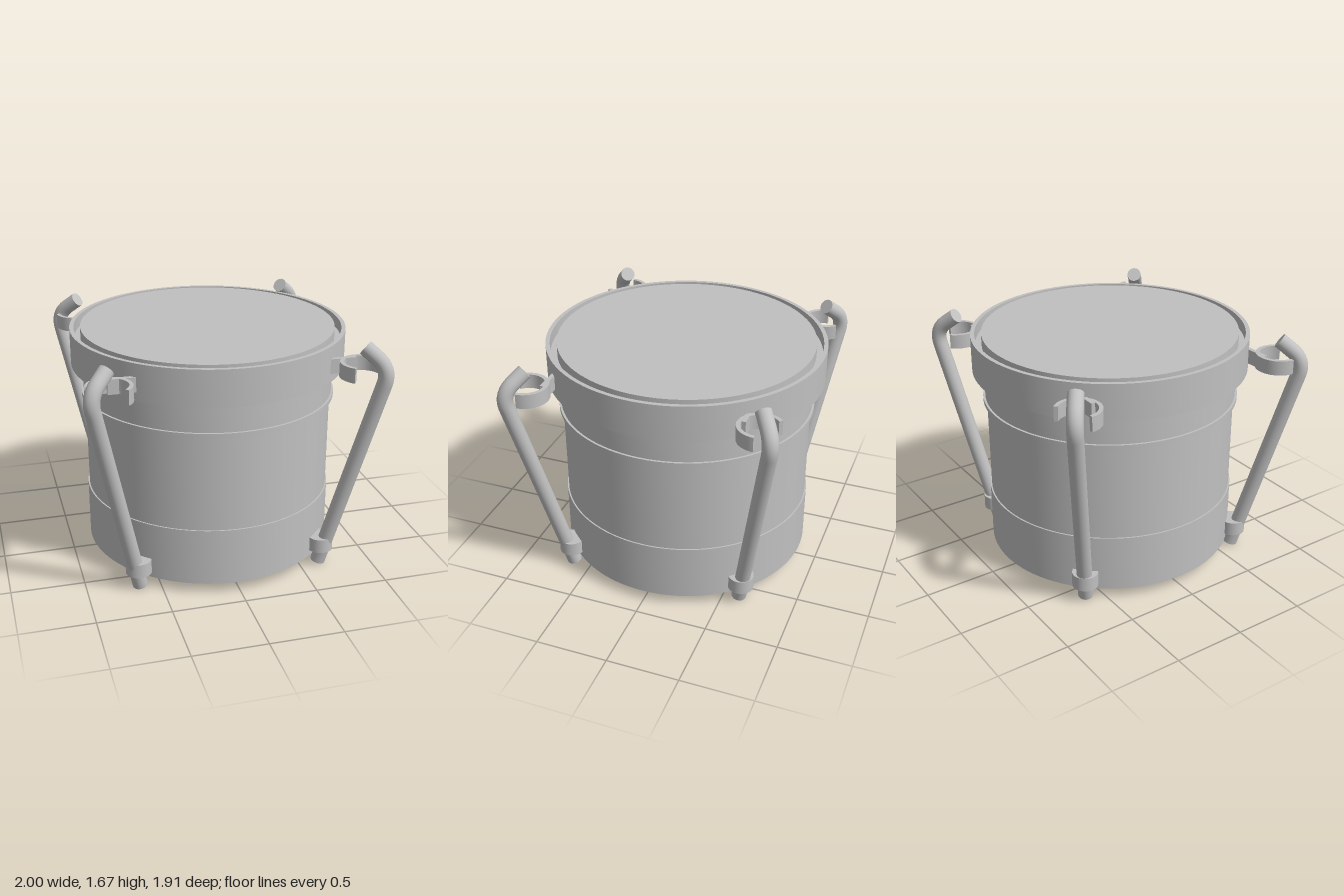
import * as THREE from 'three';
import { toCreasedNormals } from 'three/addons/utils/BufferGeometryUtils.js';

export function createModel() {
  const model = new THREE.Group();
  const grey = new THREE.MeshStandardMaterial({ color: 0xc0c0c0 });
  grey.name = 'light grey';

  const add = (name, geometry, parent = model) => {
    const mesh = new THREE.Mesh(geometry, grey);
    mesh.name = name;
    parent.add(mesh);
    return mesh;
  };

  // Turned parts: profile of [radius, height], bottom to top, very slightly oval
  const turned = (name, profile) => {
    const points = profile.map(([r, y]) => new THREE.Vector2(r, y));
    const lathe = new THREE.LatheGeometry(points, 96).scale(1, 1, 1.012);
    add(name, toCreasedNormals(lathe, 0.5));
  };

  turned('shell', [[0, 0.07], [0.855, 0.07], [0.855, 1.4]]);
  turned('lowerSleeve', [[0.85, 0.07], [0.865, 0.07], [0.865, 0.47], [0.85, 0.47]]);
  turned('bead', [[0.85, 1.14], [0.88, 1.14], [0.88, 1.17], [0.85, 1.17]]);
  turned('upperSleeve', [[0.85, 1.17], [0.865, 1.17], [0.865, 1.34], [0.877, 1.34],
    [0.877, 1.36], [0.85, 1.36]]);
  // Hoop with a groove between its rim and the head
  turned('hoop', [[0.85, 1.37], [0.943, 1.37], [0.943, 1.62], [0.915, 1.62],
    [0.915, 1.54], [0.85, 1.54]]);
  turned('head', [[0.87, 1.53], [0.87, 1.625], [0, 1.625]]);

  // Bent round rod with closed ends
  const addRod = (group, bottom, corner, top, radius) => {
    const into = corner.clone().lerp(bottom, 0.07);
    const out = corner.clone().lerp(top, 0.5);
    const path = new THREE.CurvePath();
    path.add(new THREE.LineCurve3(bottom, into));
    path.add(new THREE.QuadraticBezierCurve3(into, corner, out));
    path.add(new THREE.LineCurve3(out, top));
    add('rod', new THREE.TubeGeometry(path, 80, radius, 24), group);
    for (const [end, from] of [[bottom, corner], [top, corner]]) {
      const cap = add('rodEnd', new THREE.CircleGeometry(radius, 24), group);
      cap.position.copy(end);
      cap.quaternion.setFromUnitVectors(new THREE.Vector3(0, 0, 1),
        end.clone().sub(from).normalize());
    }
  };

  // Open C-shaped clip lying flat around the rod
  const clipGeometry = (cx, cz, sx, sz) => {
    const points = [];
    const steps = 32;
    const arc = (r, i) => {
      const a = -i / steps * THREE.MathUtils.degToRad(228);
      points.push(new THREE.Vector2(sx * (cx + r * Math.cos(a)), sz * (cz + r * Math.sin(a))));
    };
    for (let i = 0; i <= steps; i++) arc(0.15, i);
    for (let i = steps; i >= 0; i--) arc(0.123, i);
    const g = new THREE.ExtrudeGeometry(new THREE.Shape(points), { depth: 0.1, bevelEnabled: false });
    return toCreasedNormals(g.rotateX(Math.PI / 2).translate(0, 1.53, 0), 0.5);
  };

  // Front and back pairs differ a little in their placing
  const pairs = [
    { side: 'front', sz: 1, bottom: [0.64, 0.01, 0.635], corner: [0.965, 1.5, 0.9],
      top: [0.835, 1.625, 0.79], clip: [0.825, 0.795], collar: [0.648, 0.64] },
    { side: 'back', sz: -1, bottom: [0.605, 0.01, 0.61], corner: [0.925, 1.5, 0.875],
      top: [0.785, 1.625, 0.775], clip: [0.795, 0.765], collar: [0.625, 0.625] },
  ];
  for (const p of pairs) {
    for (const sx of [1, -1]) {
      const group = new THREE.Group();
      group.name = p.side + (sx > 0 ? 'Left' : 'Right') + 'Support';
      model.add(group);
      const at = ([x, y, z]) => new THREE.Vector3(sx * x, y, p.sz * z);

      addRod(group, at(p.bottom), at(p.corner), at(p.top), 0.052);
      add('clip', clipGeometry(p.clip[0], p.clip[1], sx, p.sz), group);

      // Tab joining the clip to the hoop
      const tab = add('clipTab', new THREE.BoxGeometry(0.19, 0.1, 0.03), group);
      tab.position.copy(at([p.clip[0] - 0.1, 1.48, p.clip[1] - 0.11]));

      // Collar holding the foot of the rod against the shell
      const collar = add('collar', new THREE.CylinderGeometry(0.088, 0.088, 0.1, 32), group);
      collar.position.copy(at([p.collar[0], 0.16, p.collar[1]]));
    }
  }
  return model;
}
